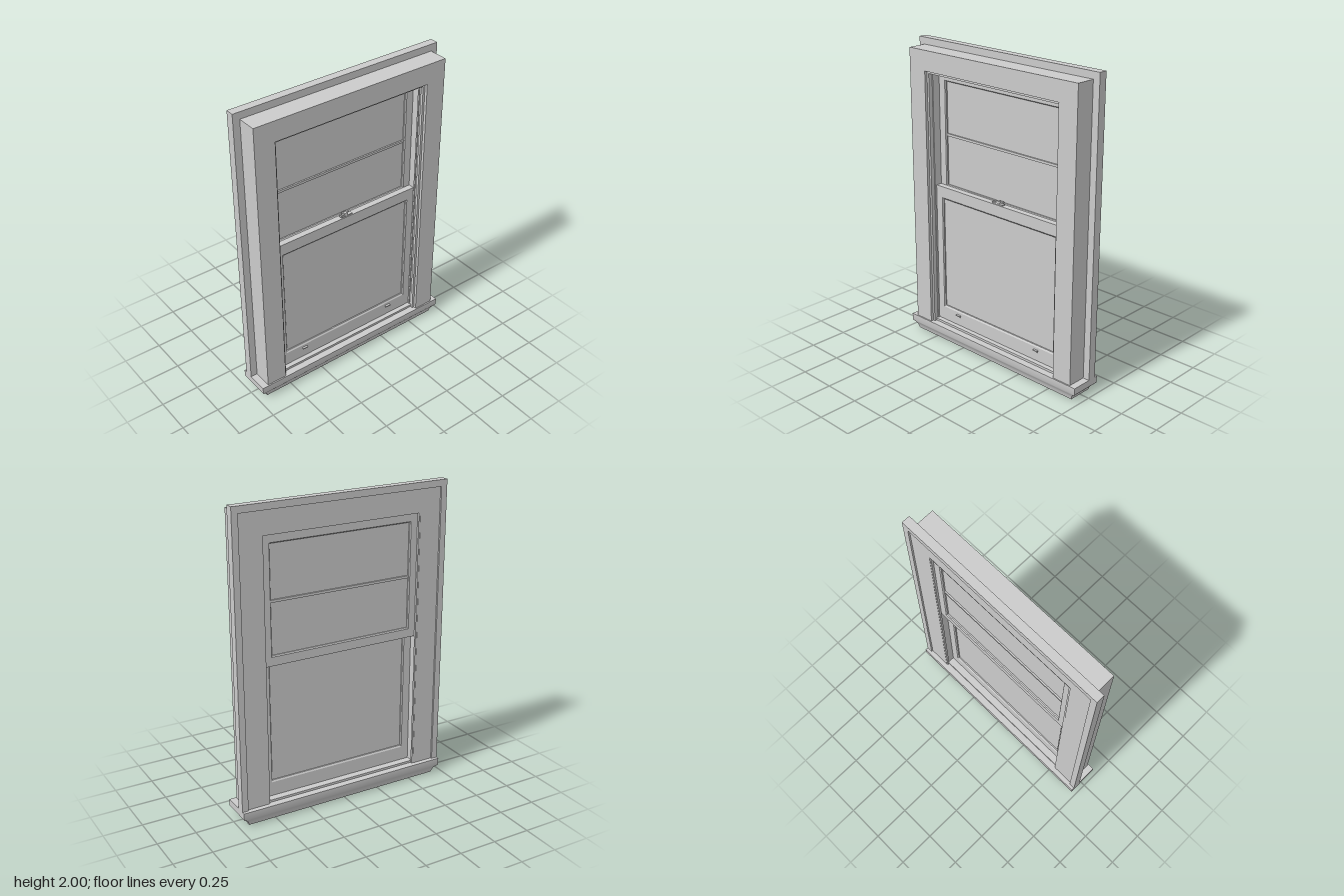
import * as THREE from 'three';
import { toCreasedNormals } from 'three/addons/utils/BufferGeometryUtils.js';

const material = new THREE.MeshStandardMaterial({ color: 0xcccccc });

function addMesh(parent, name, geometry, x = 0, y = 0, z = 0) {
  const mesh = new THREE.Mesh(geometry, material);
  mesh.name = name;
  mesh.position.set(x, y, z);
  parent.add(mesh);
  return mesh;
}

// Box given by its limits on each axis
function addBox(parent, name, [x0, x1], [y0, y1], [z0, z1]) {
  return addMesh(parent, name, new THREE.BoxGeometry(x1 - x0, y1 - y0, z1 - z0),
    (x0 + x1) / 2, (y0 + y1) / 2, (z0 + z1) / 2);
}

// Arch of two legs and a head, open at the bottom, extruded from z0 to z1
function addArch(parent, name, outerX, outerTop, innerX, innerTop, z0, z1, bottom = 0.1) {
  const shape = new THREE.Shape([
    [-outerX, bottom], [-innerX, bottom], [-innerX, innerTop], [innerX, innerTop],
    [innerX, bottom], [outerX, bottom], [outerX, outerTop], [-outerX, outerTop],
  ].map(([x, y]) => new THREE.Vector2(x, y)));
  const geometry = new THREE.ExtrudeGeometry(shape, { depth: z1 - z0, bevelEnabled: false });
  return addMesh(parent, name, geometry, 0, 0, z0);
}

// Joins loops of four corners into quads; each loop runs counter-clockwise about the sweep axis
function loft(loops, closed) {
  const positions = [], index = [];
  loops.forEach(loop => loop.forEach(p => positions.push(...p)));
  const n = loops.length;
  for (let i = 0; i < (closed ? n : n - 1); i++) {
    for (let k = 0; k < 4; k++) {
      const a = i * 4 + k, b = i * 4 + (k + 1) % 4;
      const c = ((i + 1) % n) * 4 + (k + 1) % 4, d = ((i + 1) % n) * 4 + k;
      index.push(a, b, c, a, c, d);
    }
  }
  if (!closed) {
    const t = (n - 1) * 4;
    index.push(0, 2, 1, 0, 3, 2, t, t + 1, t + 2, t, t + 2, t + 3);
  }
  const geometry = new THREE.BufferGeometry();
  geometry.setAttribute('position', new THREE.Float32BufferAttribute(positions, 3));
  geometry.setIndex(index);
  return toCreasedNormals(geometry, 0.5);
}

// Sash: mitred frame with a small chamfer around a pane
function addSash(parent, name, halfWidth, [y0, y1], [paneY0, paneY1], paneX, [back, front]) {
  const sash = new THREE.Group();
  sash.name = name;
  const mid = (back + front) / 2;
  const rect = (t, z) => {
    const x = THREE.MathUtils.lerp(halfWidth, paneX, t);
    const lo = THREE.MathUtils.lerp(y0, paneY0, t), hi = THREE.MathUtils.lerp(y1, paneY1, t);
    return [[-x, lo, z], [x, lo, z], [x, hi, z], [-x, hi, z]];
  };
  const profile = [[0, back], [0, front], [0.9, front], [1, front - 0.007], [1, back + 0.007], [0.9, back]];
  addMesh(sash, name + 'Frame', loft(profile.map(p => rect(...p)), true));
  addBox(sash, name + 'Pane', [-paneX - 0.004, paneX + 0.004], [paneY0 - 0.004, paneY1 + 0.004],
    [mid - 0.005, mid + 0.005]);
  parent.add(sash);
  return sash;
}

export function createModel() {
  const model = new THREE.Group();
  model.name = 'sashWindow';

  // Sill with a moulded underside running round all four sides: [y, half width, half depth]
  const sillProfile = [
    [0, 0.682, 0.082], [0.018, 0.687, 0.086], [0.032, 0.694, 0.092], [0.042, 0.706, 0.098],
    [0.05, 0.72, 0.104], [0.056, 0.725, 0.106], [0.1, 0.725, 0.106],
  ];
  addMesh(model, 'sill', loft(sillProfile.map(([y, x, z]) =>
    [[-x, y, z], [x, y, z], [x, y, -z], [-x, y, -z]]), false));

  // Main frame, back casing and its raised outer rim
  addArch(model, 'mainFrame', 0.68, 1.955, 0.545, 1.825, -0.03, 0.097);
  addArch(model, 'backCasing', 0.725, 2, 0.54, 1.82, -0.074, -0.03);
  addArch(model, 'backRim', 0.725, 2, 0.684, 1.957, -0.085, -0.074);

  // Jamb stops leave a track for each sash
  for (const [z0, z1] of [[0.034, 0.045], [0.06, 0.078], [-0.072, -0.058]]) {
    addArch(model, 'jambStop', 0.546, 1.826, 0.53, 1.808, z0, z1);
  }
  addArch(model, 'jambLiner', 0.546, 1.826, 0.536, 1.814, -0.058, 0.06);
  addBox(model, 'sillStop', [-0.545, 0.545], [0.095, 0.115], [-0.06, 0.06]);

  // Sashes: the upper one slides behind the lower one
  const upper = addSash(model, 'upperSash', 0.535, [1.005, 1.812], [1.068, 1.752], 0.48, [-0.056, -0.014]);
  addBox(upper, 'glazingBar', [-0.48, 0.48], [1.397, 1.413], [-0.05, -0.02]);
  const lower = addSash(model, 'lowerSash', 0.535, [0.113, 1.065], [0.218, 0.982], 0.478, [-0.012, 0.028]);

  // Finger lifts on the bottom rail
  for (const side of [-1, 1]) {
    const x = side * 0.345;
    addBox(lower, 'fingerLiftPlate', [x - 0.012, x + 0.012], [0.172, 0.19], [0.027, 0.031]);
    addBox(lower, 'fingerLiftLip', [x - 0.018, x + 0.018], [0.184, 0.19], [0.028, 0.042]);
  }

  // Sash lock on the meeting rail
  const lock = new THREE.Group();
  lock.name = 'sashLock';
  lock.position.set(0, 1.065, 0.008);
  addBox(lock, 'lockBase', [-0.038, 0.045], [0, 0.007], [-0.014, 0.014]);
  addMesh(lock, 'lockPivot', new THREE.CylinderGeometry(0.012, 0.015, 0.018, 20), 0, 0.013, 0);
  addBox(lock, 'lockCam', [-0.015, 0.03], [0.008, 0.016], [-0.022, -0.006]);
  const lever = addBox(lock, 'lockLever', [-0.04, 0.006], [0.011, 0.018], [0, 0.01]);
  lever.rotation.z = 0.2;
  addMesh(lock, 'lockKnob', new THREE.SphereGeometry(0.007, 12, 8), -0.038, 0.01, 0.005);
  model.add(lock);

  return model;
}
